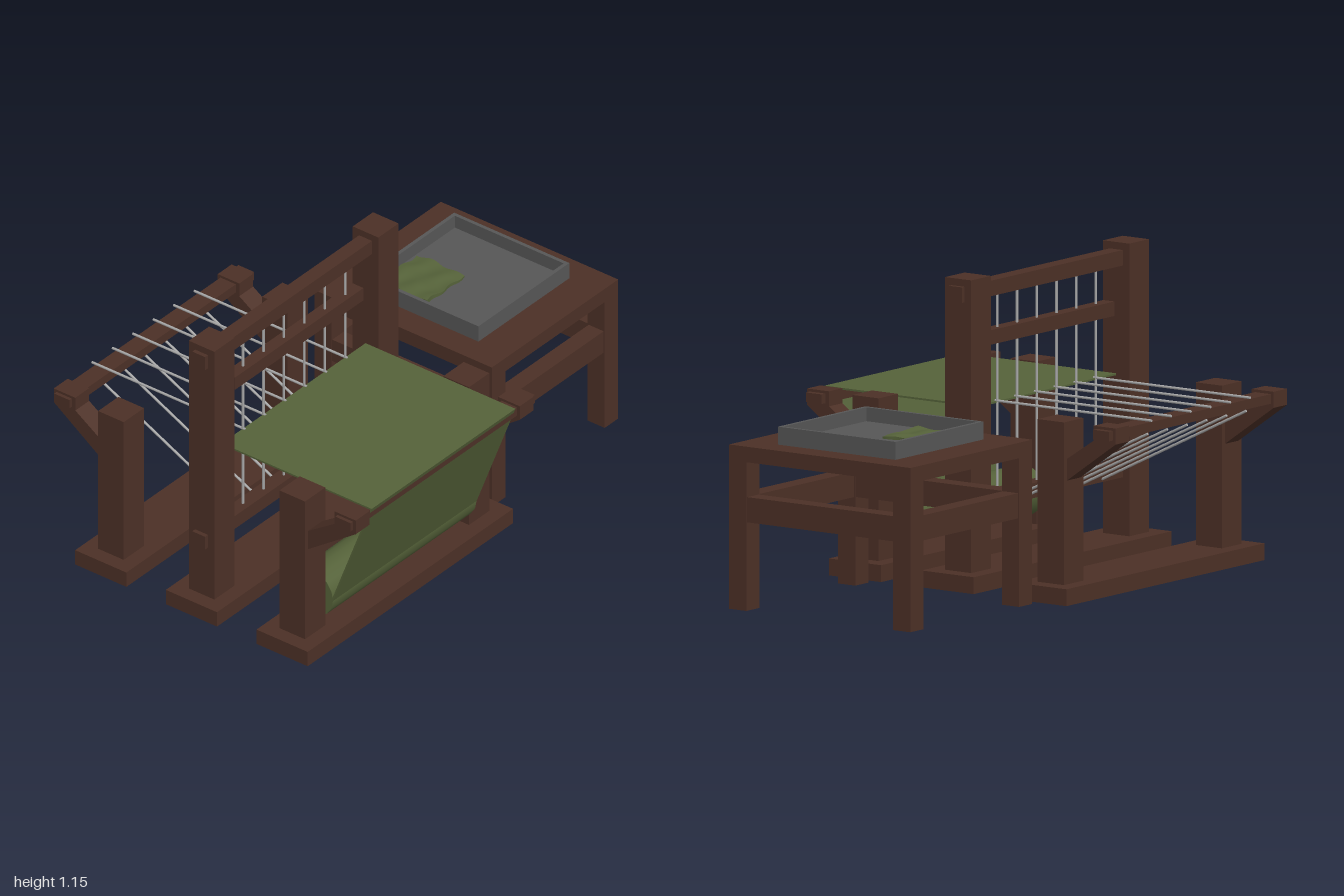
import * as THREE from 'three';

const wood = new THREE.MeshStandardMaterial({ color: 0x4c3026 });
const green = new THREE.MeshStandardMaterial({ color: 0x556239, side: THREE.DoubleSide });
const grey = new THREE.MeshStandardMaterial({ color: 0x565656 });
const thread = new THREE.MeshStandardMaterial({ color: 0xa8a8a8 });

function add(parent, name, geometry, material) {
  const mesh = new THREE.Mesh(geometry, material);
  mesh.name = name;
  parent.add(mesh);
  return mesh;
}

// Box given by its lower and upper limits on each axis
function box(parent, name, x0, x1, y0, y1, z0, z1, material = wood) {
  const mesh = add(parent, name, new THREE.BoxGeometry(x1 - x0, y1 - y0, z1 - z0), material);
  mesh.position.set((x0 + x1) / 2, (y0 + y1) / 2, (z0 + z1) / 2);
  return mesh;
}

// Thin cord between two points
function cord(parent, name, a, b) {
  const from = new THREE.Vector3(...a), to = new THREE.Vector3(...b);
  const dir = to.clone().sub(from);
  const mesh = add(parent, name, new THREE.CylinderGeometry(0.005, 0.005, dir.length(), 8), thread);
  mesh.position.copy(from).add(to).multiplyScalar(0.5);
  mesh.quaternion.setFromUnitVectors(new THREE.Vector3(0, 1, 0), dir.normalize());
}

// Profile in x and y, extruded from z0 to z1
function extrude(parent, name, points, z0, z1, material) {
  const shape = new THREE.Shape(points.map(([x, y]) => new THREE.Vector2(x, y)));
  const geometry = new THREE.ExtrudeGeometry(shape, { depth: z1 - z0, bevelEnabled: false });
  geometry.translate(0, 0, z0);
  return add(parent, name, geometry, material);
}

function createFrame() {
  const frame = new THREE.Group();
  frame.name = 'loomFrame';
  const postZ = [-0.09, 0.88];

  // Three floor sleds, each with a pair of posts
  for (const [x, top] of [[-0.425, 0.67], [0, 1.155], [0.425, 0.67]]) {
    box(frame, 'sled', x - 0.12, x + 0.12, 0, 0.063, -0.215, 1);
    for (const z of postZ) box(frame, 'post', x - 0.06, x + 0.06, 0.063, top, z - 0.06, z + 0.06);
  }

  // Sloping brackets with the outer beams
  for (const s of [-1, 1]) {
    const profile = [[0.48, 0.447], [0.708, 0.608], [0.708, 0.668], [0.607, 0.668], [0.607, 0.612], [0.48, 0.528]]
      .map(([x, y]) => [s * x, y]);
    for (const z of postZ) extrude(frame, 'bracket', profile, z - 0.041, z + 0.041, wood);
    const beam = box(frame, 'outerBeam', 0.623, 0.695, 0.622, 0.658, -0.155, 0.935);
    beam.position.x *= s;
  }

  // Cross beams through the tall posts, and the hanging heddle bar
  box(frame, 'topBeam', -0.03, 0.03, 1.07, 1.128, -0.167, 0.957);
  box(frame, 'lowerBeam', -0.03, 0.03, 0.28, 0.336, -0.167, 0.957);
  box(frame, 'heddleBar', -0.026, 0.026, 0.888, 0.942, 0.015, 0.775);
  return frame;
}

function createThreads() {
  const threads = new THREE.Group();
  threads.name = 'threads';
  for (let i = 0; i < 6; i++) {
    const z = 0.09 + i * 0.121;
    cord(threads, 'warpThread', [-0.708, 0.666, z], [0.01, 0.666, z]);
    cord(threads, 'diagonalThread', [-0.69, 0.615, z], [0, 0.277, z]);
    cord(threads, 'heddleThread', [0, 0.3, z], [0, 1.08, z]);
  }
  return threads;
}

function createCloth() {
  const cloth = new THREE.Group();
  cloth.name = 'wovenCloth';
  // Flat web that folds over the outer beam and drops to the roll
  extrude(cloth, 'clothSheet',
    [[0, 0.658], [0.693, 0.658], [0.515, 0.187], [0.521, 0.184], [0.703, 0.665], [0, 0.665]],
    -0.03, 0.82, green);
  const roll = add(cloth, 'clothRoll', new THREE.CylinderGeometry(0.096, 0.096, 0.85, 16), green);
  roll.rotation.x = Math.PI / 2;
  roll.position.set(0.425, 0.185, 0.395);
  return cloth;
}

function createTable() {
  const table = new THREE.Group();
  table.name = 'table';
  const zMid = -0.626;
  box(table, 'tableTop', -0.416, 0.416, 0.555, 0.613, -1, -0.252);
  for (const sx of [-1, 1]) {
    for (const sz of [-1, 1]) {
      const x = sx * 0.376, z = zMid + sz * 0.334;
      box(table, 'tableLeg', x - 0.04, x + 0.04, 0, 0.555, z - 0.04, z + 0.04);
    }
    const x = sx * 0.376, z = zMid + sx * 0.334;
    box(table, 'sideStretcher', x - 0.035, x + 0.035, 0.33, 0.424, zMid - 0.295, zMid + 0.295);
    box(table, 'crossStretcher', -0.337, 0.337, 0.33, 0.424, z - 0.035, z + 0.035);
  }
  return table;
}

function createTray() {
  const tray = new THREE.Group();
  tray.name = 'tray';
  const h = 0.27, t = 0.015, z0 = -0.895, z1 = -0.357, y0 = 0.613, y1 = 0.68;
  box(tray, 'trayFloor', -h, h, y0, y0 + 0.015, z0, z1, grey);
  box(tray, 'trayWall', -h, -h + t, y0, y1, z0, z1, grey);
  box(tray, 'trayWall', h - t, h, y0, y1, z0, z1, grey);
  box(tray, 'trayWall', -h + t, h - t, y0, y1, z0, z0 + t, grey);
  box(tray, 'trayWall', -h + t, h - t, y0, y1, z1 - t, z1, grey);

  // Rumpled scrap of cloth lying in the tray
  const scrap = new THREE.BoxGeometry(0.22, 0.012, 0.225, 20, 1, 20);
  const p = scrap.attributes.position;
  for (let i = 0; i < p.count; i++) {
    const x = p.getX(i), y = p.getY(i), z = p.getZ(i);
    const wave = 0.003 * (Math.sin(55 * x + 20 * z) + Math.sin(48 * z - 25 * x));
    p.setXYZ(i, x + 0.004 * Math.sin(60 * z), y > 0 ? y + wave : y, z + 0.004 * Math.sin(50 * x));
  }
  scrap.computeVertexNormals();
  add(tray, 'clothScrap', scrap, green).position.set(-0.128, 0.636, -0.525);
  return tray;
}

export function createModel() {
  const model = new THREE.Group();
  model.name = 'loomAndTable';
  model.add(createFrame(), createThreads(), createCloth(), createTable(), createTray());
  return model;
}
